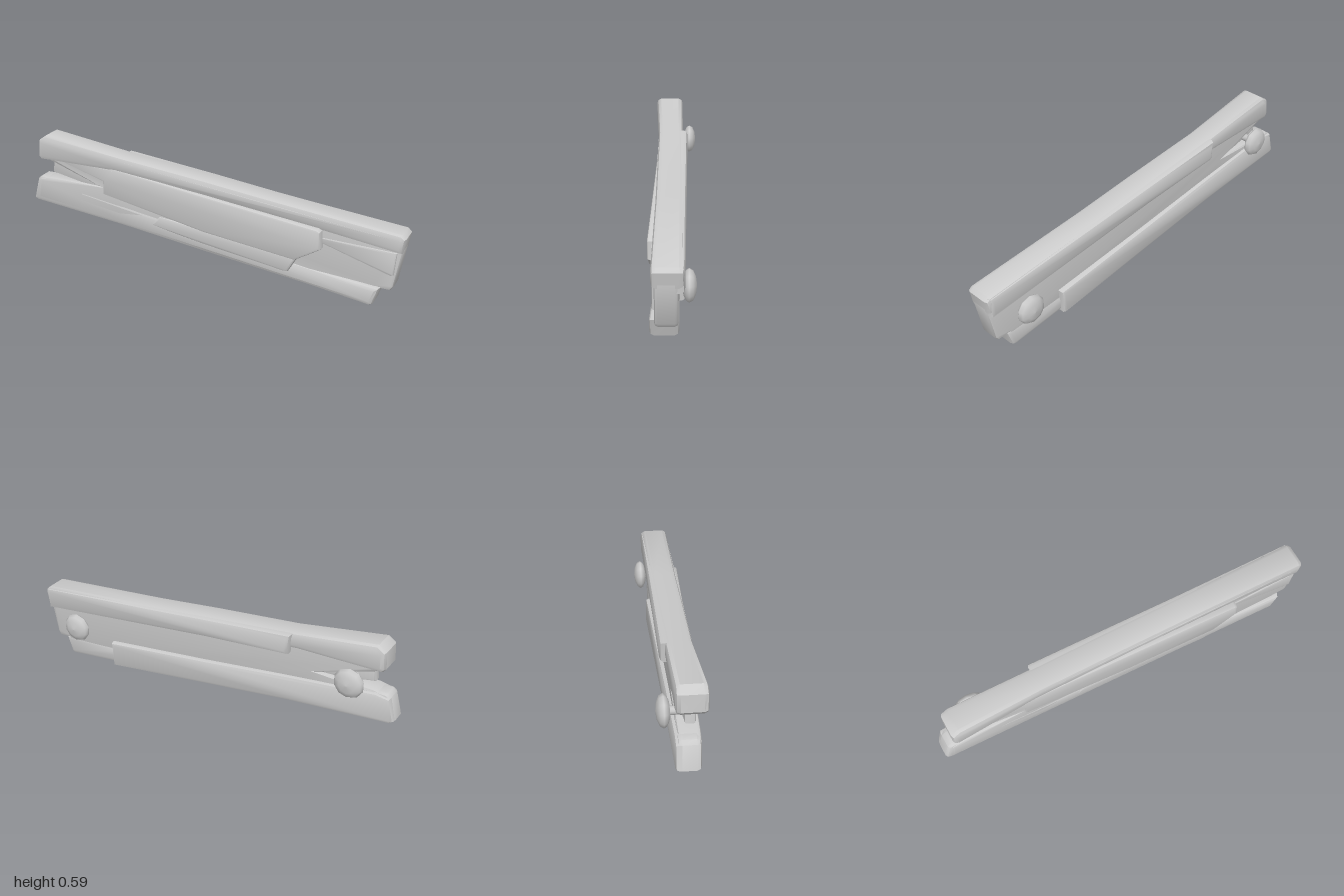
import * as THREE from 'three';
import { toCreasedNormals } from 'three/addons/utils/BufferGeometryUtils.js';

const material = new THREE.MeshStandardMaterial({ color: 0xcccccc, side: THREE.DoubleSide });

// Linear interpolation through [x, z] pairs
function follow(table, x) {
  if (x <= table[0][0]) return table[0][1];
  for (let i = 1; i < table.length; i++) {
    const [x0, z0] = table[i - 1], [x1, z1] = table[i];
    if (x <= x1) return z0 + (z1 - z0) * (x - x0) / (x1 - x0);
  }
  return table[table.length - 1][1];
}

// Bevelled slab whose front and back faces follow depth curves along x
function slab(name, outline, front, back, bevel = 0.015) {
  const shape = new THREE.Shape(outline.map(([x, y]) => new THREE.Vector2(x, y)));
  const geo = new THREE.ExtrudeGeometry(shape, {
    depth: 1, bevelEnabled: true, bevelThickness: bevel, bevelSize: bevel,
    bevelOffset: -bevel, bevelSegments: 2,
  });
  const p = geo.attributes.position;
  for (let i = 0; i < p.count; i++) {
    const x = p.getX(i), z = p.getZ(i);
    p.setZ(i, z > 0.5 ? follow(front, x) + z - 1 - bevel : follow(back, x) + z + bevel);
  }
  const mesh = new THREE.Mesh(toCreasedNormals(geo, 0.7), material);
  mesh.name = name;
  return mesh;
}

// Domed nail head pointing to the back
function nail(name, x, y, z) {
  const profile = [[0.02, -0.06], [0.02, 0], [0.045, 0.003], [0.068, 0.015], [0.076, 0.028],
    [0.066, 0.045], [0.04, 0.057], [0, 0.062]].map(([r, h]) => new THREE.Vector2(r, h));
  const geo = new THREE.LatheGeometry(profile, 10);
  geo.rotateX(-Math.PI / 2);
  const mesh = new THREE.Mesh(geo, material);
  mesh.name = name;
  mesh.position.set(x, y, z);
  return mesh;
}

export function createModel() {
  const group = new THREE.Group();
  group.name = 'brokenPlank';
  group.add(
    // Body with a split left end and a stepped right end
    slab('plankCore', [
      [-0.91, 0.57], [-0.45, 0.515], [0.33, 0.43], [0.985, 0.36], [0.99, 0.3], [0.955, 0.11], [0.94, 0.09],
      [0.88, 0.092], [0.855, 0.025], [0.55, 0.05], [0, 0.12], [-0.45, 0.175], [-0.97, 0.235],
      [-0.955, 0.345], [-0.885, 0.36], [-0.59, 0.358], [-0.88, 0.45], [-0.91, 0.47],
    ], [[-1, 0.065], [-0.5, 0.074], [0.5, 0.078], [1, 0.08]], [[-1, -0.035], [0, -0.025], [1, -0.022]]),
    // Thin fibres left inside the split
    slab('splitFibres', [[-0.88, 0.385], [-0.55, 0.33], [-0.55, 0.42], [-0.87, 0.475]],
      [[-0.9, 0.045], [-0.55, 0.065]], [[-0.9, 0.0], [-0.55, -0.015]], 0.008),
    // Upper edge, running the whole length
    slab('upperRail', [
      [-0.935, 0.48], [-0.93, 0.565], [-0.89, 0.593], [-0.45, 0.532], [0, 0.485], [0.33, 0.446], [0.98, 0.378],
      [1, 0.36], [0.987, 0.285], [0.62, 0.33], [0, 0.405], [-0.5, 0.455], [-0.92, 0.462],
    ], [[-0.93, 0.098], [-0.45, 0.08], [0.5, 0.085], [1, 0.095]], [[-0.9, -0.046], [1, -0.046]], 0.022),
    // Raised layer on the back of the upper edge
    slab('backUpperLayer', [
      [-0.47, 0.53], [0, 0.48], [0.33, 0.441], [0.985, 0.372], [0.98, 0.26], [0, 0.38], [-0.46, 0.425],
    ], [[-0.5, 0.04], [1, 0.04]], [[-0.47, -0.071], [0.3, -0.058], [1, -0.05]], 0.02),
    // Lower edge
    slab('lowerRail', [
      [-1, 0.228], [-0.97, 0.34], [-0.95, 0.355], [-0.89, 0.355], [-0.45, 0.28], [0, 0.21], [0.55, 0.13],
      [0.895, 0.1], [0.866, 0.012], [0.85, 0.004], [0.55, 0.04], [0, 0.107], [-0.45, 0.165], [-0.98, 0.216],
    ], [[-1, 0.062], [-0.45, 0.077], [0.5, 0.084], [0.87, 0.104]], [[-1, -0.04], [0.87, -0.026]], 0.02),
    // Raised layer on the back of the lower edge
    slab('backLowerLayer', [
      [-0.998, 0.228], [-0.97, 0.34], [-0.9, 0.35], [-0.45, 0.295], [0, 0.235], [0.575, 0.165],
      [0.565, 0.032], [0, 0.105], [-0.45, 0.163], [-0.98, 0.215],
    ], [[-1, 0.03], [0.6, 0.03]], [[-1, -0.05], [-0.45, -0.05], [0.57, -0.055]], 0.016),
    // Raised front layers that sink into the wood towards the left
    slab('frontPanel', [
      [-0.86, 0.475], [-0.5, 0.468], [0, 0.41], [0.59, 0.345], [0.603, 0.335], [0.61, 0.25], [0.48, 0.17],
      [0, 0.22], [-0.57, 0.32], [-0.57, 0.39],
    ], [[-0.86, 0.07], [-0.4, 0.083], [0.6, 0.118]], [[-1, 0.03], [1, 0.03]], 0.012),
    slab('frontLowerPanel', [[-0.25, 0.255], [0.49, 0.18], [0.445, 0.1], [0.42, 0.1], [0, 0.152], [-0.3, 0.2]],
      [[-0.3, 0.078], [0.48, 0.109]], [[-1, 0.03], [1, 0.03]], 0.012),
    // Splinter at the right end
    slab('rightSplinter', [[0.58, 0.3], [0.965, 0.288], [0.955, 0.175], [0.94, 0.17], [0.6, 0.27]],
      [[0.58, 0.08], [0.97, 0.09]], [[0, 0.03], [1, 0.03]], 0.008),
    nail('leftNail', 0.78, 0.207, -0.04),
    nail('rightNail', -0.785, 0.39, -0.055),
  );
  return group;
}
